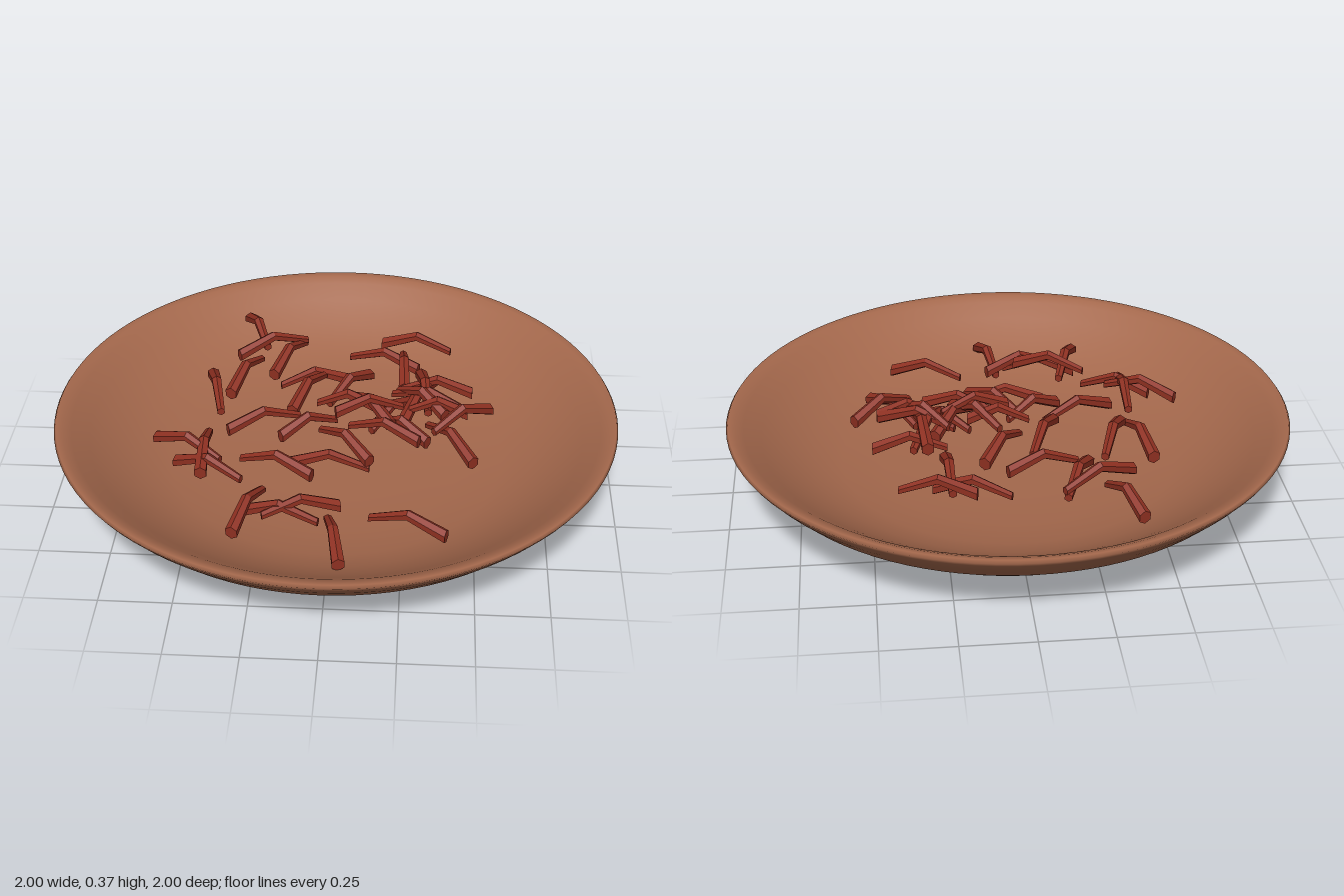
import * as THREE from 'three';

const clay = new THREE.MeshStandardMaterial({ color: 0xa4684c });
clay.name = 'clay brown';
const red = new THREE.MeshStandardMaterial({ color: 0x8e3021, flatShading: true });
red.name = 'dried red';

// Bent, tapered stick from a thin end to a thick end, kinked upward at the middle
function makeStick([x1, z1, x2, z2, y]) {
  const length = Math.hypot(x2 - x1, z2 - z1);
  const geo = new THREE.CylinderGeometry(0.024, 0.015, length, 6, 2);
  const p = geo.attributes.position;
  for (let i = 0; i < p.count; i++) {
    const t = p.getY(i) / length; // -0.5 .. 0.5
    p.setZ(i, p.getZ(i) + 0.05 * (1 - 2 * Math.abs(t)));
  }
  // lay the stick down: axis along the ground, bend pointing up
  const axis = new THREE.Vector3(x2 - x1, 0, z2 - z1).normalize();
  const up = new THREE.Vector3(0, 1, 0);
  const side = new THREE.Vector3().crossVectors(axis, up);
  geo.applyMatrix4(new THREE.Matrix4().makeBasis(side, axis, up));
  geo.computeVertexNormals();
  const mesh = new THREE.Mesh(geo, red);
  mesh.position.set((x1 + x2) / 2, y, (z1 + z2) / 2);
  mesh.name = 'stick';
  return mesh;
}

// thin end x, z, thick end x, z, height of the ends
const scattered = [
  [-0.29, -0.48, -0.38, -0.70, 0.25], [-0.14, -0.53, -0.39, -0.40, 0.26],
  [-0.15, -0.54, -0.25, -0.30, 0.24], [0.41, -0.47, 0.15, -0.52, 0.26],
  [0.03, -0.48, 0.29, -0.40, 0.22], [0.23, -0.48, 0.24, -0.23, 0.24],
  [-0.30, -0.35, -0.39, -0.10, 0.28], [-0.42, -0.04, -0.48, -0.30, 0.24],
  [-0.22, -0.26, 0.03, -0.32, 0.22], [-0.03, -0.10, 0.11, -0.31, 0.25],
  [-0.06, -0.28, -0.16, -0.03, 0.26], [-0.13, -0.02, -0.38, 0.09, 0.25],
  [0.00, 0.00, -0.19, 0.12, 0.25], [0.13, 0.24, -0.15, 0.22, 0.21],
  [-0.39, 0.26, -0.63, 0.13, 0.24], [-0.31, 0.33, -0.55, 0.23, 0.21],
  [-0.45, 0.07, -0.45, 0.33, 0.23], [-0.31, 0.30, -0.06, 0.39, 0.28],
  [-0.23, 0.38, -0.31, 0.63, 0.21], [-0.03, 0.53, -0.30, 0.48, 0.19],
  [-0.22, 0.53, 0.04, 0.46, 0.21], [0.00, 0.49, 0.05, 0.74, 0.18],
  [0.14, 0.48, 0.40, 0.57, 0.18], [0.23, -0.20, 0.49, -0.185, 0.26],
];
const piled = [
  [-0.05, 0.05, 0.13, 0.24, 0.24], [0.05, 0.05, 0.30, 0.14, 0.26],
  [-0.07, -0.06, 0.15, -0.04, 0.28], [0.04, -0.12, 0.20, 0.07, 0.28],
  [0.20, -0.12, 0.46, -0.01, 0.29], [0.33, 0.00, 0.30, -0.26, 0.29],
  [0.35, -0.23, 0.24, 0.04, 0.27], [0.35, 0.12, 0.55, -0.04, 0.29],
  [0.33, 0.00, 0.49, 0.23, 0.24], [0.24, -0.02, 0.00, 0.03, 0.30],
  [0.13, 0.08, 0.27, -0.12, 0.26], [0.22, -0.13, 0.39, 0.03, 0.30],
  [0.25, -0.01, 0.47, 0.00, 0.29], [0.14, -0.03, 0.33, 0.10, 0.23],
];

export function createModel() {
  const group = new THREE.Group();

  // Shallow bowl: underside, rounded rim, then the inner surface back to the centre
  const profile = [
    [0, 0.005], [0.25, 0.006], [0.42, 0.012], [0.5, 0.018], [0.58, 0.035], [0.7, 0.08],
    [0.82, 0.135], [0.9, 0.19], [0.96, 0.25], [0.99, 0.285], [1, 0.3],
    [0.993, 0.31], [0.97, 0.305], [0.94, 0.29], [0.88, 0.248], [0.8, 0.195],
    [0.7, 0.145], [0.6, 0.115], [0.45, 0.092], [0.25, 0.082], [0, 0.08],
  ].map(([r, y]) => new THREE.Vector2(r, y - 0.005));
  const bowl = new THREE.Mesh(new THREE.LatheGeometry(profile, 96), clay);
  bowl.name = 'bowl';
  group.add(bowl);

  // Sticks: loose ones around the bowl and a heap right of the middle
  for (const [name, list] of [['scatteredSticks', scattered], ['stickPile', piled]]) {
    const part = new THREE.Group();
    part.name = name;
    list.forEach((s) => part.add(makeStick(s)));
    group.add(part);
  }
  return group;
}
